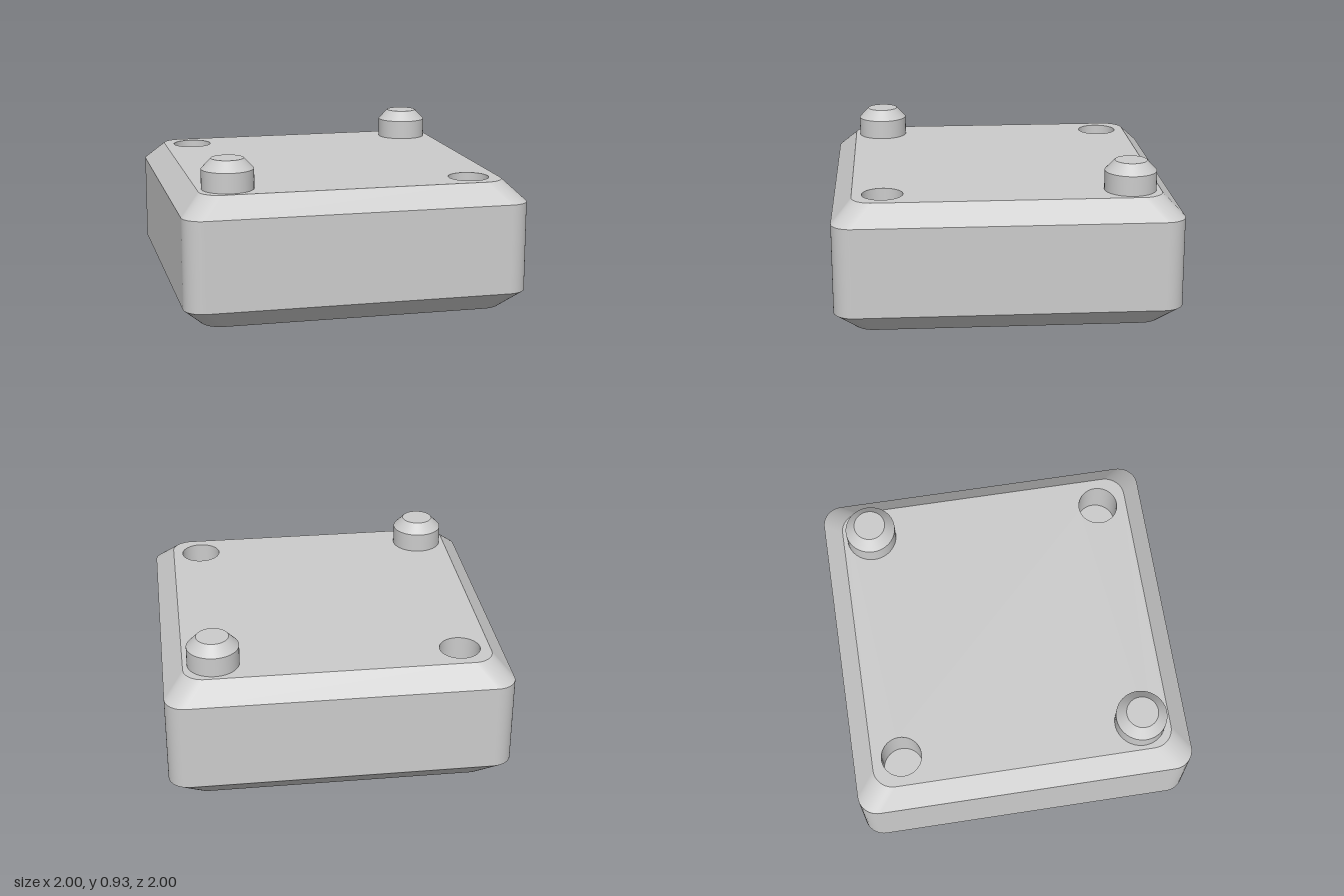
import * as THREE from 'three';

const HALF = 1, BEVEL = 0.115, CORNER = 0.118;
const TOP = 0.755, PEG = 0.71;
const HOLE_R = 0.118, HOLE_DEPTH = 0.24;
const ARC = 12;

const grey = new THREE.MeshStandardMaterial({ color: 0xcccccc });
const greyDouble = new THREE.MeshStandardMaterial({ color: 0xcccccc, side: THREE.DoubleSide });

function part(name, geometry, x = 0, y = 0, z = 0, material = grey) {
  const mesh = new THREE.Mesh(geometry, material);
  mesh.name = name;
  mesh.position.set(x, y, z);
  return mesh;
}

// Rounded square; each point also carries its outward direction
function outline(half) {
  const points = [], c = half - CORNER;
  for (let q = 0; q < 4; q++) {
    const cx = q === 0 || q === 3 ? c : -c;
    const cz = q < 2 ? c : -c;
    for (let i = 0; i <= ARC; i++) {
      const a = (q + i / ARC) * Math.PI / 2;
      const nx = Math.cos(a), nz = Math.sin(a);
      points.push({ x: cx + CORNER * nx, z: cz + CORNER * nz, nx, nz });
    }
  }
  return points;
}

// Wall strip between two rounded squares, smooth around the corners
function band(half0, y0, half1, y1) {
  const lower = outline(half0), upper = outline(half1), n = lower.length;
  const slope = (half0 - half1) / (y1 - y0);
  const positions = [], normals = [], index = [];
  for (const [ring, y] of [[lower, y0], [upper, y1]]) {
    for (const p of ring) {
      positions.push(p.x, y, p.z);
      const normal = new THREE.Vector3(p.nx, slope * (Math.abs(p.nx) + Math.abs(p.nz)), p.nz).normalize();
      normals.push(normal.x, normal.y, normal.z);
    }
  }
  for (let i = 0; i < n; i++) {
    const j = (i + 1) % n;
    index.push(i, n + i, j, j, n + i, n + j);
  }
  const geometry = new THREE.BufferGeometry();
  geometry.setAttribute('position', new THREE.Float32BufferAttribute(positions, 3));
  geometry.setAttribute('normal', new THREE.Float32BufferAttribute(normals, 3));
  geometry.setIndex(index);
  return geometry;
}

function capShape() {
  return new THREE.Shape(outline(HALF - BEVEL).map(p => new THREE.Vector2(p.x, p.z)));
}

function createPeg(x, z) {
  const peg = new THREE.Group();
  peg.name = 'peg';
  peg.position.set(x, TOP, z);
  peg.add(part('pegShaft', new THREE.CylinderGeometry(0.15, 0.15, 0.115, 48, 1, true), 0, 0.0575));
  peg.add(part('pegTip', new THREE.CylinderGeometry(0.093, 0.15, 0.06, 48), 0, 0.145));
  return peg;
}

function createSocket(x, z) {
  const socket = new THREE.Group();
  socket.name = 'socket';
  socket.position.set(x, TOP, z);
  const profile = [new THREE.Vector2(HOLE_R, 0), new THREE.Vector2(HOLE_R, -HOLE_DEPTH)];
  socket.add(part('socketWall', new THREE.LatheGeometry(profile, 48), 0, 0, 0, greyDouble));
  socket.add(part('socketFloor', new THREE.CircleGeometry(HOLE_R, 48).rotateX(-Math.PI / 2), 0, -HOLE_DEPTH));
  return socket;
}

export function createModel() {
  const model = new THREE.Group();
  model.name = 'peggedBlock';

  // Block with bevelled top and bottom edges
  const body = new THREE.Group();
  body.name = 'body';
  const inner = HALF - BEVEL;
  body.add(part('lowerBevel', band(inner, 0, HALF, BEVEL)));
  body.add(part('sideWall', band(HALF, BEVEL, HALF, TOP - BEVEL)));
  body.add(part('upperBevel', band(HALF, TOP - BEVEL, inner, TOP)));
  body.add(part('bottomFace', new THREE.ShapeGeometry(capShape()).rotateX(Math.PI / 2)));

  // Top face, pierced by the two sockets
  const top = capShape();
  for (const s of [1, -1]) {
    top.holes.push(new THREE.Path().absarc(s * PEG, -s * PEG, HOLE_R, 0, Math.PI * 2, true));
  }
  body.add(part('topFace', new THREE.ShapeGeometry(top, 24).rotateX(-Math.PI / 2), 0, TOP));
  model.add(body);

  // Pegs on one diagonal, sockets on the other
  for (const s of [1, -1]) {
    model.add(createPeg(s * PEG, -s * PEG));
    model.add(createSocket(s * PEG, s * PEG));
  }
  return model;
}
